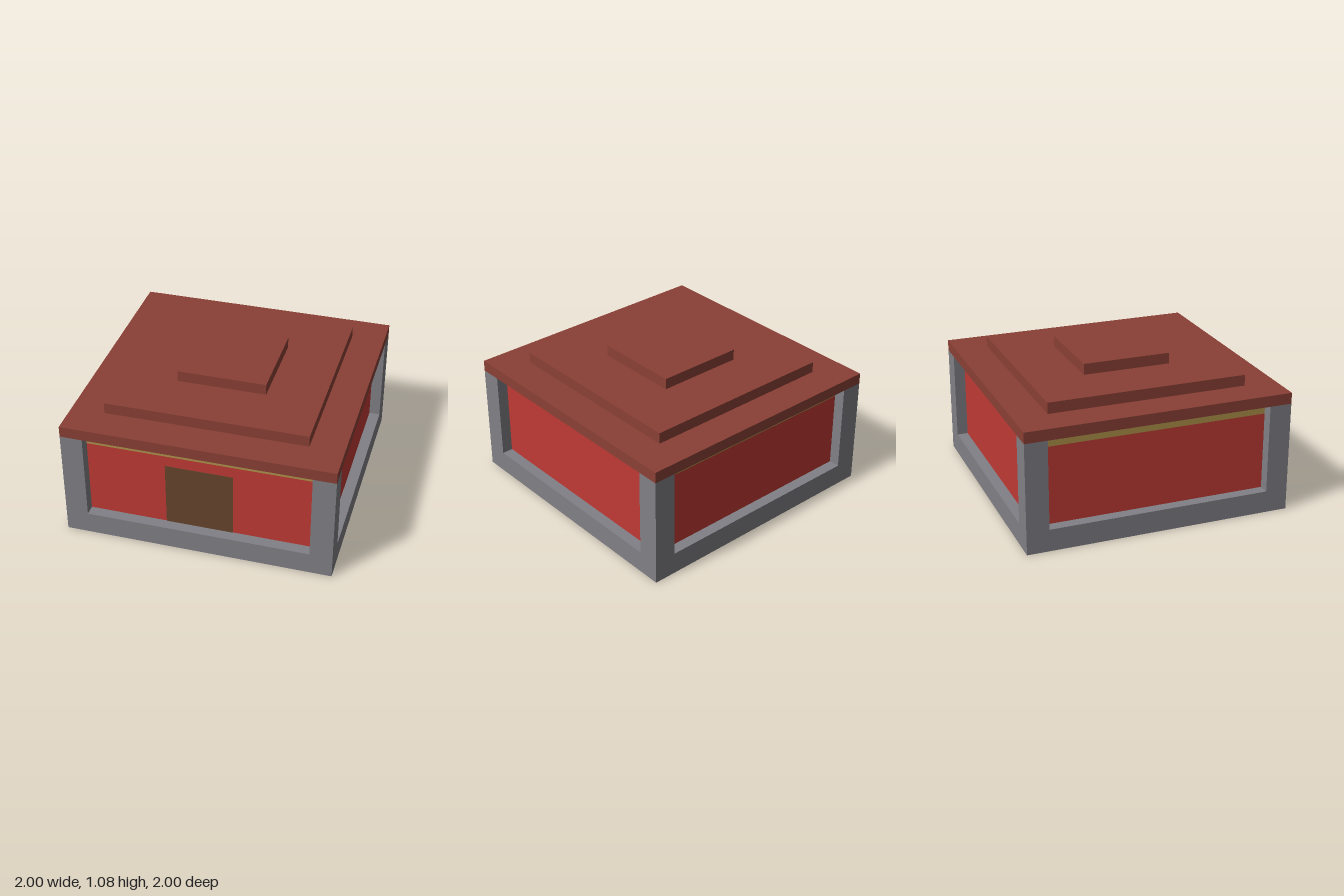
import * as THREE from 'three';

const material = (name, color) => {
  const m = new THREE.MeshStandardMaterial({ color });
  m.name = name;
  return m;
};

export function createModel() {
  const stone = material('grey stone', 0x808086);
  const red = material('red wall', 0xc03a35);
  const gold = material('gold trim', 0xb0924a);
  const wood = material('dark wood', 0x66452c);
  const tile = material('roof tile', 0x8a4035);

  const model = new THREE.Group();
  model.name = 'pavilion';
  const u = 1 / 12; // building module

  // Box standing on y0, centred on (x, z)
  const block = (name, mat, w, d, y0, y1, x = 0, z = 0) => {
    const mesh = new THREE.Mesh(new THREE.BoxGeometry(w, y1 - y0, d), mat);
    mesh.name = name;
    mesh.position.set(x, (y0 + y1) / 2, z);
    model.add(mesh);
  };

  // Stone base and corner pillars
  block('base', stone, 2, 2, 0, 2 * u);
  for (const sx of [-1, 1]) {
    for (const sz of [-1, 1]) {
      block('cornerPillar', stone, 2 * u, 2 * u, 2 * u, 10 * u, sx * 11 * u, sz * 11 * u);
    }
  }

  // Recessed walls with a gold band along the top
  block('walls', red, 22 * u, 22 * u, 2 * u, 9 * u);
  block('goldBand', gold, 22 * u, 22 * u, 9 * u, 10 * u);

  // Door plate on the front wall
  block('door', wood, 6 * u, 0.004, 2 * u, 8 * u, 0, 11 * u + 0.001);

  // Stepped roof
  [1, 0.75, 4 * u].forEach((half, i) => {
    block('roofTier' + (i + 1), tile, 2 * half, 2 * half, (10 + i) * u, (11 + i) * u);
  });

  return model;
}
